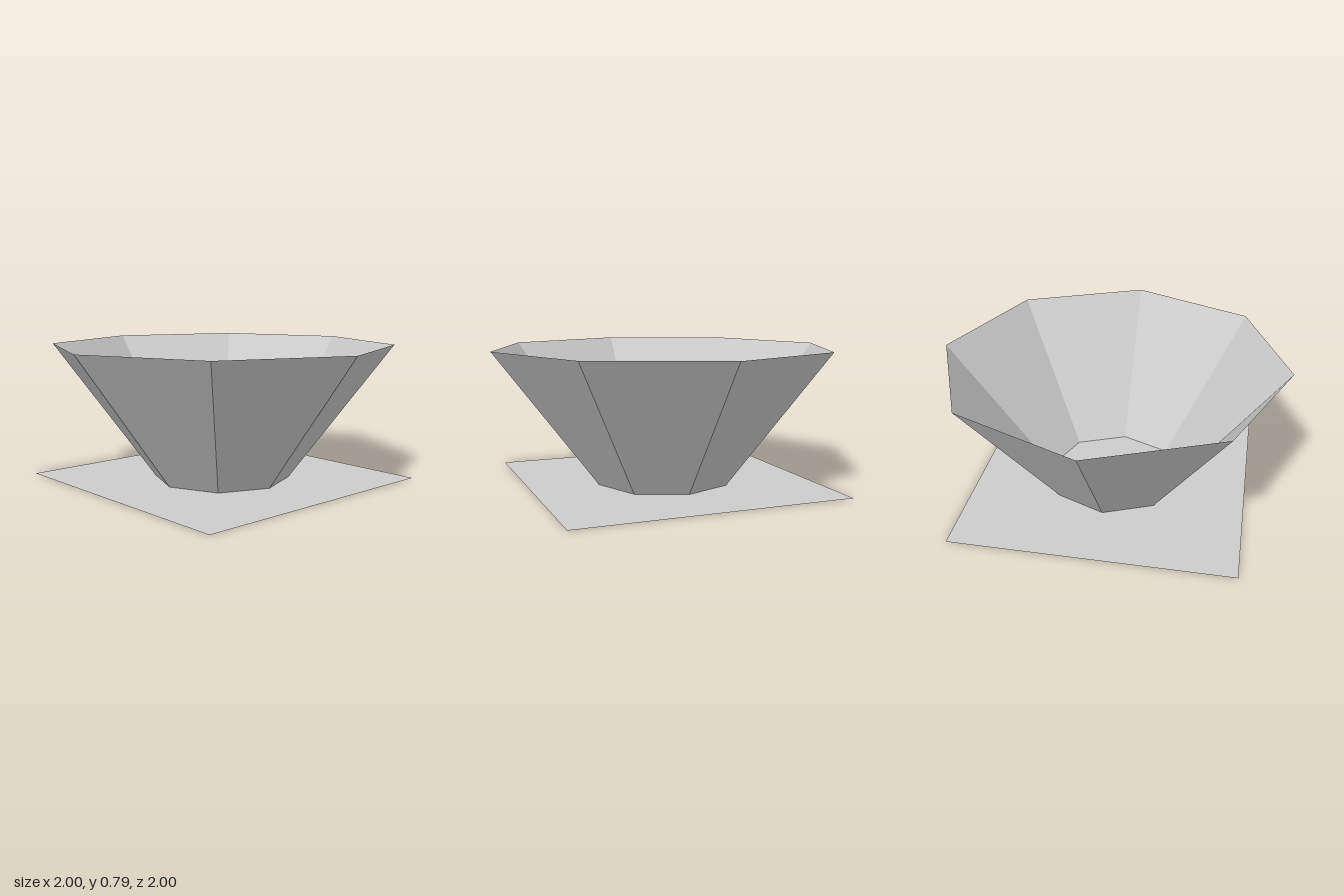
import * as THREE from 'three';

const HEIGHT = 0.79;

export function createModel() {
  const group = new THREE.Group();
  const material = new THREE.MeshStandardMaterial({
    color: 0xcccccc,
    flatShading: true,
    side: THREE.DoubleSide,
  });

  // Eight-sided flared bowl wall, open at the top and bottom
  const bowl = new THREE.Mesh(
    new THREE.CylinderGeometry(1, 0.4, HEIGHT, 8, 1, true),
    material,
  );
  bowl.name = 'bowl';
  bowl.position.y = HEIGHT / 2;
  group.add(bowl);

  // Thin square sheet that the bowl stands on
  const base = new THREE.Mesh(new THREE.PlaneGeometry(1.6, 1.6), material);
  base.name = 'base';
  base.rotation.x = -Math.PI / 2;
  group.add(base);

  return group;
}
